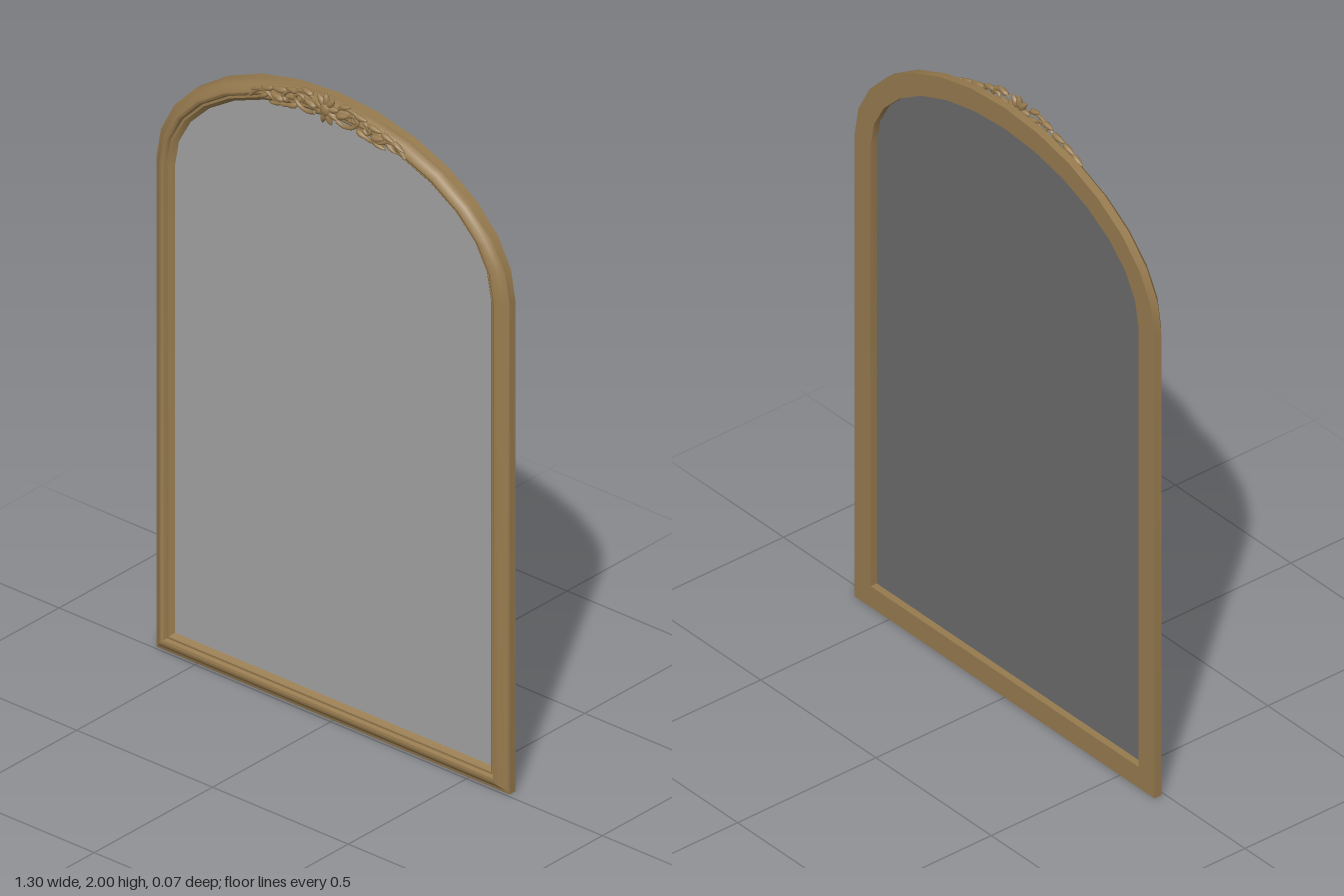
import * as THREE from 'three';
import { toCreasedNormals } from 'three/addons/utils/BufferGeometryUtils.js';

const HALF = 0.65, SPRING = 1.55, RISE = 0.43, ARCH = 14;

// Arched outline, inset by t, anticlockwise from the lower +x corner
function outline(t) {
  const pts = [[HALF - t, t]];
  for (let i = 0; i <= ARCH; i++) {
    const a = (i / ARCH) * Math.PI;
    pts.push([(HALF - t) * Math.cos(a), SPRING + (RISE - t) * Math.sin(a)]);
  }
  pts.push([-(HALF - t), t]);
  return pts;
}

// Moulding swept round the outline: profile pairs are [inset, z]
function sweepFrame(profile) {
  const rings = profile.map(([t, z]) => outline(t).map(([x, y]) => [x, y, z]));
  const n = rings[0].length, m = rings.length;
  const pos = rings.flat(2), index = [];
  for (let j = 0; j < m; j++) {
    const k = (j + 1) % m;
    for (let i = 0; i < n; i++) {
      const h = (i + 1) % n;
      const a = j * n + i, b = j * n + h, c = k * n + h, d = k * n + i;
      index.push(a, b, c, a, c, d);
    }
  }
  const g = new THREE.BufferGeometry();
  g.setAttribute('position', new THREE.Float32BufferAttribute(pos, 3));
  g.setIndex(index);
  return toCreasedNormals(g, 0.6);
}

export function createModel() {
  const model = new THREE.Group();
  model.name = 'archedMirror';
  const mat = (name, color) => {
    const m = new THREE.MeshStandardMaterial({ color });
    m.name = name;
    return m;
  };
  const gold = mat('antique gold', 0x967a4e);
  const glass = mat('mirror glass', 0xa2a2a2);
  const backing = mat('dark backing', 0x6c6c6c);

  const add = (parent, name, geo, material) => {
    const mesh = new THREE.Mesh(geo, material);
    mesh.name = name;
    parent.add(mesh);
    return mesh;
  };

  // Moulded frame
  add(model, 'frame', sweepFrame([
    [0, -0.035], [0, -0.01], [0.008, -0.008], [0.018, 0.002], [0.028, 0.012],
    [0.037, 0.014], [0.044, 0.011], [0.049, 0.002], [0.056, 0.003],
    [0.062, -0.002], [0.07, -0.012], [0.07, -0.035],
  ]), gold);

  // Glass and its backing
  const pane = () => new THREE.ShapeGeometry(
    new THREE.Shape(outline(0.066).map(([x, y]) => new THREE.Vector2(x, y))));
  add(model, 'glass', pane(), glass).position.z = -0.01;
  const back = add(model, 'backing', pane(), backing);
  back.rotation.y = Math.PI;
  back.position.z = -0.013;

  // Carved crest
  const crest = new THREE.Group();
  crest.name = 'crest';
  model.add(crest);

  // Pointed leaf: a flattened bead tapered towards its +x tip
  const leafGeo = new THREE.SphereGeometry(1, 10, 6);
  const p = leafGeo.attributes.position;
  for (let i = 0; i < p.count; i++) {
    const x = p.getX(i), s = 1 - 0.35 * x;
    p.setXYZ(i, x, p.getY(i) * s + 0.25 * x * x, p.getZ(i) * s);
  }
  leafGeo.computeVertexNormals();
  const leaf = (parent, name, x, y, z, angle, len, wid, dep = 0.009) => {
    const m = add(parent, name, leafGeo, gold);
    m.position.set(x, y, z);
    m.rotation.z = angle;
    m.scale.set(len, wid, dep);
  };

  // Central shell: a fan of lobes round a boss
  for (let i = 0; i < 9; i++) {
    const a = (i / 9) * Math.PI * 2 + Math.PI / 2;
    leaf(crest, 'shellLobe', Math.cos(a) * 0.027, 1.949 + Math.sin(a) * 0.029, 0.018, a, 0.022, 0.01, 0.01);
  }
  const boss = add(crest, 'boss', new THREE.SphereGeometry(1, 12, 8), gold);
  boss.position.set(0, 1.948, 0.02);
  boss.scale.set(0.02, 0.022, 0.013);

  // Side scrolls and leaves: tube points are [x, y]
  const scrolls = [
    [[0.04, 1.925], [0.065, 1.917], [0.1, 1.925], [0.115, 1.945], [0.1, 1.96], [0.083, 1.953], [0.088, 1.941]],
    [[0.045, 1.968], [0.075, 1.975], [0.11, 1.968], [0.145, 1.95], [0.16, 1.932], [0.148, 1.921], [0.136, 1.93]],
    [[0.12, 1.918], [0.16, 1.905], [0.2, 1.912], [0.235, 1.925], [0.265, 1.91], [0.285, 1.89]],
  ];
  // [x, y, angle, length, half width]
  const leaves = [
    [0.06, 1.945, 0.3, 0.024, 0.009], [0.07, 1.978, 0.25, 0.022, 0.008],
    [0.125, 1.962, -0.1, 0.026, 0.009], [0.13, 1.912, -0.3, 0.024, 0.008],
    [0.175, 1.945, -0.15, 0.028, 0.009], [0.185, 1.918, 0.2, 0.026, 0.01],
    [0.19, 1.899, -0.25, 0.026, 0.007], [0.222, 1.933, -0.3, 0.026, 0.008],
    [0.235, 1.905, -0.6, 0.022, 0.007], [0.262, 1.918, -0.5, 0.024, 0.006],
  ];
  for (const s of [1, -1]) {
    const side = new THREE.Group();
    side.name = s > 0 ? 'leftSpray' : 'rightSpray';
    side.scale.x = s;
    crest.add(side);
    for (const pts of scrolls) {
      const curve = new THREE.CatmullRomCurve3(
        pts.map(([x, y]) => new THREE.Vector3(x, y, 0.021 - x * 0.03)));
      add(side, 'scroll', new THREE.TubeGeometry(curve, 24, 0.006, 6), gold);
    }
    for (const [x, y, angle, len, wid] of leaves) {
      leaf(side, 'leaf', x, y, 0.02 - x * 0.03, angle, len, wid);
    }
  }
  return model;
}
